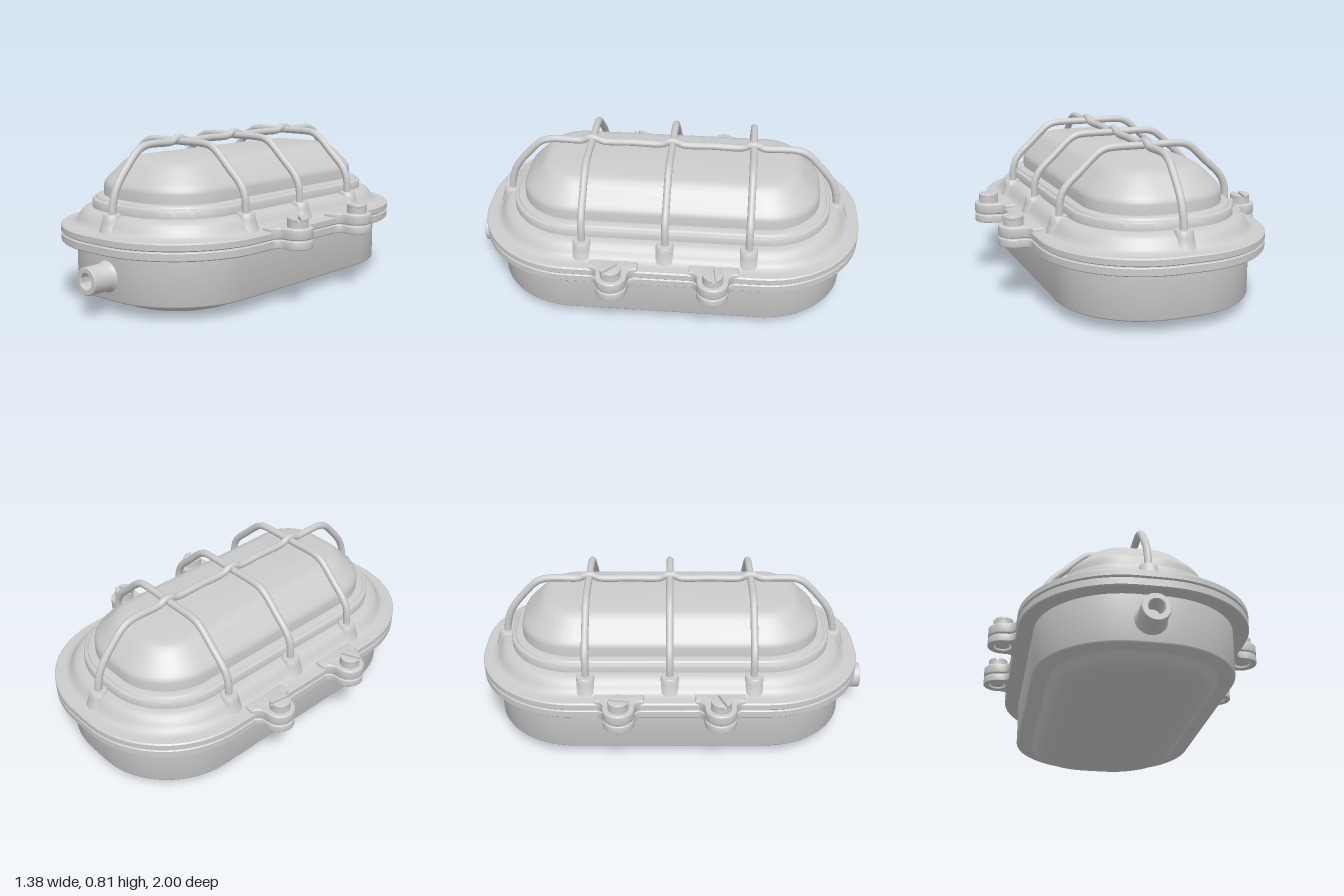
import * as THREE from 'three';
import { toCreasedNormals } from 'three/addons/utils/BufferGeometryUtils.js';

const material = new THREE.MeshStandardMaterial({ color: 0xcccccc });
const CORE_X = 0.06, CORE_Z = 0.477; // core rectangle that every oval ring is offset from

function add(parent, name, geometry, x = 0, y = 0, z = 0) {
  const mesh = new THREE.Mesh(geometry, material);
  mesh.name = name;
  mesh.position.set(x, y, z);
  parent.add(mesh);
  return mesh;
}

// Sweeps a profile of [half width, y] around the oval; half width 0 closes the end
function ovalLoft(profile, crease = 0.6) {
  const seg = 20, count = 4 * (seg + 1);
  const pos = [], index = [];
  for (const [w, y] of profile) {
    for (let q = 0; q < 4; q++) {
      const sx = q === 0 || q === 3 ? 1 : -1, sz = q < 2 ? 1 : -1;
      for (let k = 0; k <= seg; k++) {
        const a = (q + k / seg) * Math.PI / 2, r = w - CORE_X;
        if (w === 0) pos.push(0, y, 0);
        else pos.push(sx * CORE_X + r * Math.cos(a), y, sz * CORE_Z + r * Math.sin(a));
      }
    }
  }
  for (let i = 0; i < profile.length - 1; i++) {
    for (let j = 0; j < count; j++) {
      const n = (j + 1) % count;
      const a = i * count + j, b = a + count, c = (i + 1) * count + n, d = i * count + n;
      if (profile[i + 1][0] > 0) index.push(a, b, c);
      if (profile[i][0] > 0) index.push(a, c, d);
    }
  }
  const g = new THREE.BufferGeometry();
  g.setAttribute('position', new THREE.Float32BufferAttribute(pos, 3));
  g.setIndex(index);
  return toCreasedNormals(g, crease);
}

function lathe(points, seg = 32) {
  const g = new THREE.LatheGeometry(points.map(p => new THREE.Vector2(p[0], p[1])), seg);
  return toCreasedNormals(g, 0.6);
}

// Extrudes a plan shape upwards from y0 to y1
function slab(shape, y0, y1, bevel) {
  const g = new THREE.ExtrudeGeometry(shape, {
    depth: y1 - y0 - 2 * bevel, bevelEnabled: true, bevelThickness: bevel,
    bevelSize: bevel, bevelOffset: -bevel, bevelSegments: 3, curveSegments: 20,
  });
  g.rotateX(-Math.PI / 2);
  g.translate(0, y0 + bevel, 0);
  return toCreasedNormals(g, 0.6);
}

// Plan of a screw lug, growing out of the flange towards +x
function lugShape(holeRadius) {
  const s = new THREE.Shape();
  s.moveTo(0.5, -0.12);
  s.lineTo(0.555, -0.12);
  s.quadraticCurveTo(0.562, -0.077, 0.6, -0.077);
  s.lineTo(0.613, -0.077);
  s.absarc(0.613, 0, 0.077, -Math.PI / 2, Math.PI / 2, false);
  s.lineTo(0.6, 0.077);
  s.quadraticCurveTo(0.562, 0.077, 0.555, 0.12);
  s.lineTo(0.5, 0.12);
  s.closePath();
  const hole = new THREE.Path();
  hole.absarc(0.615, 0, holeRadius, 0, Math.PI * 2, true);
  s.holes.push(hole);
  return s;
}

// Slotted screw, standing on the lug top
function createScrew(angle) {
  const screw = new THREE.Group();
  screw.name = 'screw';
  add(screw, 'screwShaft', new THREE.CylinderGeometry(0.036, 0.036, 0.11, 24), 0, 0.36, 0);
  add(screw, 'screwHead', new THREE.CylinderGeometry(0.05, 0.05, 0.036, 32), 0, 0.41, 0);
  const a = Math.asin(0.008 / 0.05), half = new THREE.Shape();
  half.absarc(0, 0, 0.05, a, Math.PI - a, false);
  half.closePath();
  for (const turn of [0, Math.PI]) {
    add(screw, 'screwHeadHalf', slab(half, 0.426, 0.444, 0.003)).rotation.y = turn;
  }
  screw.rotation.y = angle;
  return screw;
}

function wire(points) {
  const curve = new THREE.CatmullRomCurve3(points.map(p => new THREE.Vector3(...p)), false, 'centripetal');
  return new THREE.TubeGeometry(curve, 140, 0.0185, 12);
}

export function createModel() {
  const root = new THREE.Group();
  root.name = 'bulkheadLamp';
  const lamp = new THREE.Group();
  lamp.name = 'lampBody';
  lamp.position.z = -0.024;
  root.add(lamp);

  // Rear case with stepped bottom and lower flange
  add(lamp, 'case', ovalLoft([
    [0, 0], [0.29, 0.002], [0.33, 0.006], [0.36, 0.016], [0.382, 0.034], [0.396, 0.053], [0.408, 0.06],
    [0.472, 0.06], [0.479, 0.064], [0.482, 0.07], [0.482, 0.297],
    [0.554, 0.297], [0.559, 0.302], [0.559, 0.334], [0.555, 0.338], [0.535, 0.338], [0.535, 0.35],
  ]));

  // Cover frame, flange up to the rim that holds the glass
  add(lamp, 'coverFrame', ovalLoft([
    [0.53, 0.342], [0.555, 0.342], [0.56, 0.347], [0.56, 0.374], [0.554, 0.38],
    [0.515, 0.381], [0.495, 0.386], [0.483, 0.396], [0.472, 0.414], [0.46, 0.434], [0.446, 0.448], [0.425, 0.456],
    [0.403, 0.459], [0.403, 0.492], [0.399, 0.499], [0.386, 0.503],
    [0.38, 0.512], [0.37, 0.516], [0.34, 0.516],
  ]));

  // Domed glass
  add(lamp, 'glass', ovalLoft([
    [0.345, 0.49], [0.345, 0.562], [0.342, 0.575], [0.334, 0.588], [0.318, 0.606],
    [0.255, 0.668], [0.237, 0.684], [0.217, 0.694], [0.19, 0.699], [0, 0.7],
  ], 0.7));

  // Screw lugs in two layers, with slotted screws
  const angles = [0.15, -0.75, 1.4, 0.4];
  let n = 0;
  for (const side of [1, -1]) {
    for (const z of [-0.246, 0.246]) {
      const lug = new THREE.Group();
      lug.name = 'screwLug';
      lug.position.z = z;
      lug.rotation.y = side > 0 ? 0 : Math.PI;
      add(lug, 'lowerLug', slab(lugShape(0.045), 0.297, 0.338, 0.004));
      add(lug, 'upperLug', slab(lugShape(0.04), 0.342, 0.398, 0.008));
      lamp.add(lug);
      const screw = createScrew(angles[n++]);
      screw.position.set(side * 0.617, 0, z);
      lamp.add(screw);
    }
  }

  // Guard: cross wires, then the long wire that humps over them
  const crossZ = [-0.413, 0, 0.413];
  const mirrored = half => [...half, ...half.slice().reverse().map(([a, y]) => [-a, y])];
  const crossHalf = [[0.437, 0.42], [0.437, 0.48], [0.434, 0.53], [0.42, 0.572], [0.393, 0.61], [0.33, 0.669],
    [0.27, 0.726], [0.238, 0.752], [0.205, 0.767], [0.165, 0.772], [0.05, 0.772]];
  for (const z of crossZ) {
    add(lamp, 'crossWire', wire(mirrored(crossHalf).map(([x, y]) => [x, y, z])));
  }
  const longHalf = [[0.857, 0.42], [0.855, 0.48], [0.843, 0.54], [0.823, 0.59], [0.79, 0.638], [0.74, 0.696],
    [0.7, 0.738], [0.665, 0.76], [0.62, 0.771], [0.56, 0.772], [0.465, 0.772], [0.43, 0.788], [0.396, 0.788],
    [0.361, 0.772], [0.2, 0.772], [0.052, 0.772], [0.017, 0.788]];
  add(lamp, 'longWire', wire(mirrored(longHalf).map(([z, y]) => [0, y, z])));

  // Bosses where the wires enter the frame
  const boss = lathe([[0.066, 0.38], [0.054, 0.41], [0.047, 0.435], [0.043, 0.462], [0.04, 0.466], [0, 0.466]]);
  for (const s of [1, -1]) {
    for (const z of crossZ) add(lamp, 'wireBoss', boss, s * 0.44, 0, z);
    add(lamp, 'wireBoss', boss, 0, 0, s * 0.857);
  }

  // Cable inlet with a blind bore, at the front end
  const inlet = add(root, 'cableInlet', lathe([
    [0.08, 0.865], [0.073, 0.884], [0.067, 0.894], [0.067, 0.996], [0.063, 1],
    [0.041, 1], [0.037, 0.996], [0.037, 0.9], [0, 0.9],
  ]), 0, 0.175, 0);
  inlet.rotation.x = Math.PI / 2;

  return root;
}
